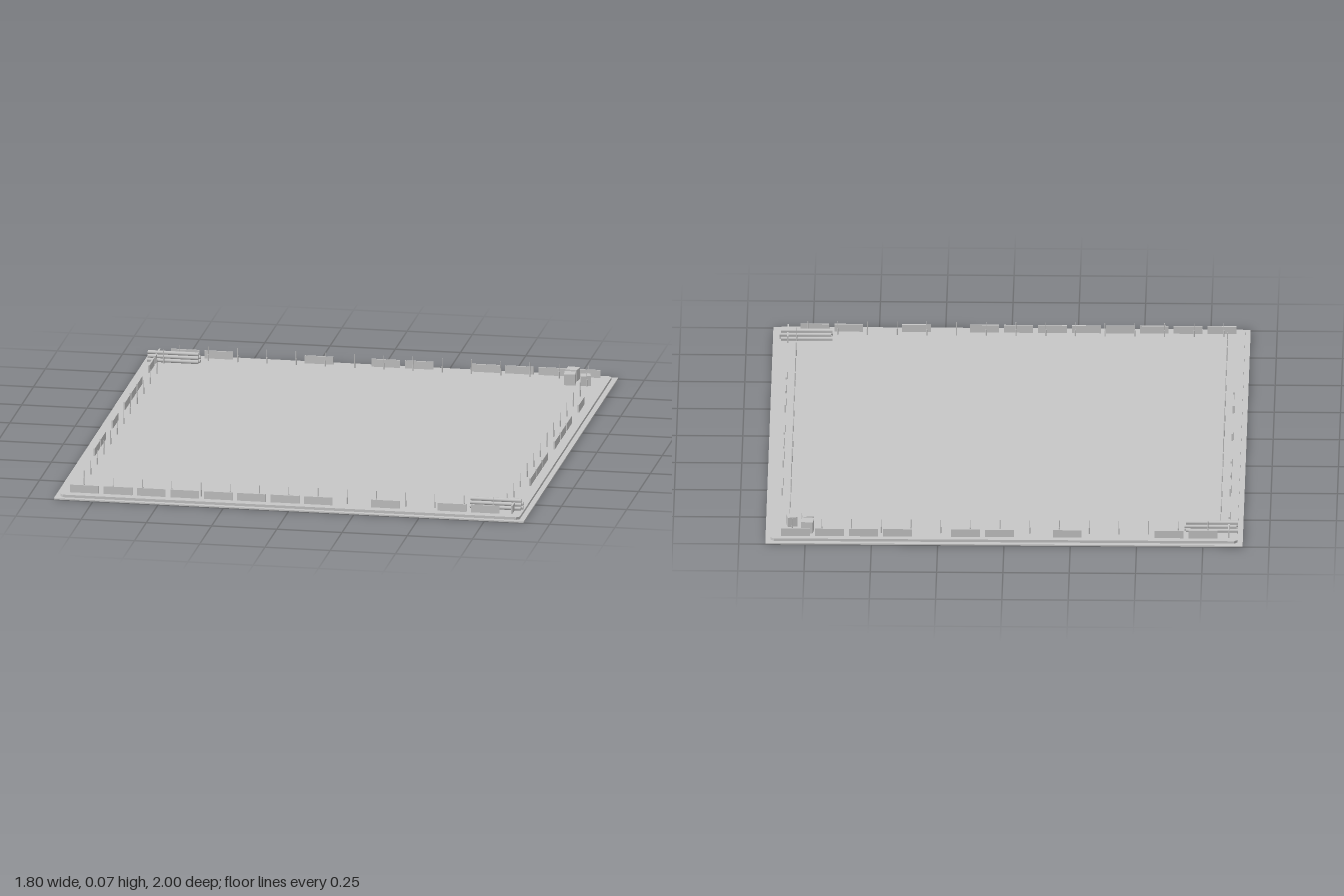
import * as THREE from 'three';

const grey = new THREE.MeshStandardMaterial({ color: 0xc6c6c6 });
grey.name = 'plain grey';

const DECK = 0.015; // height of the walking surface

function add(parent, name, geometry, x, y, z, ry = 0) {
  const mesh = new THREE.Mesh(geometry, grey);
  mesh.name = name;
  mesh.position.set(x, y, z);
  mesh.rotation.y = ry;
  parent.add(mesh);
  return mesh;
}

// Slab with slightly cut corners
function deckGeometry(w, d, h, c) {
  const x = w / 2, z = d / 2;
  const s = new THREE.Shape([
    [x - c, -z], [x, -z + c], [x, z - c], [x - c, z],
    [-x + c, z], [-x, z - c], [-x, -z + c], [-x + c, -z],
  ].map(([a, b]) => new THREE.Vector2(a, b)));
  return new THREE.ExtrudeGeometry(s, { depth: h, bevelEnabled: false }).rotateX(-Math.PI / 2);
}

// Three-two-one stack of pipes lying along x
function pipeStack(name, x, z) {
  const group = new THREE.Group();
  group.name = name;
  const r = 0.0075;
  const pipe = new THREE.CylinderGeometry(r, r, 0.195, 10).rotateZ(Math.PI / 2);
  for (let row = 0; row < 3; row++) {
    for (let i = 0; i < 3 - row; i++) {
      const shift = ((row + i) % 2 ? 1 : -1) * 0.003;
      add(group, 'pipe', pipe, shift, r + row * r * 1.73, (i - (2 - row) / 2) * 2 * r);
    }
  }
  group.position.set(x, DECK, z);
  return group;
}

export function createModel() {
  const model = new THREE.Group();
  model.name = 'fencedPlot';

  // Ground plate and raised deck
  add(model, 'groundPlate', new THREE.BoxGeometry(1.8, 0.005, 2), 0, 0.0025, 0);
  add(model, 'deck', deckGeometry(1.76, 1.96, DECK - 0.005, 0.012), 0, 0.005, 0);

  // Barrier panels: rows with some slots left open
  const pitch = 0.128, panelH = 0.03;
  const panel = new THREE.BoxGeometry(0.109, panelH, 0.006);
  const rows = [
    { name: 'backPanel', along: 'x', at: -0.952, start: -0.75, slots: [0, 1, 4, 6, 7, 9, 10, 11, 12] },
    { name: 'frontPanel', along: 'x', at: 0.94, start: -0.793, slots: [0, 1, 2, 3, 4, 5, 6, 7, 9, 11, 12] },
    { name: 'rightPanel', along: 'z', at: -0.847, start: -0.895, slots: [0, 1, 3, 4, 5, 7, 9, 10] },
    { name: 'leftPanel', along: 'z', at: 0.843, start: -0.526, slots: [0, 2, 3, 4, 6, 7, 8, 11] },
  ];
  for (const { name, along, at, start, slots } of rows) {
    for (const k of slots) {
      const p = start + k * pitch;
      if (along === 'x') add(model, name, panel, p, DECK + panelH / 2, at);
      else add(model, name, panel, at, DECK + panelH / 2, p, Math.PI / 2);
    }
  }

  // Thin stakes just inside the panels
  const foot = new THREE.CylinderGeometry(0.003, 0.003, 0.025, 6);
  const rod = new THREE.CylinderGeometry(0.0015, 0.0015, 0.055, 6);
  const stake = (x, z) => {
    const g = new THREE.Group();
    g.name = 'stake';
    add(g, 'stakeFoot', foot, 0, 0.0125, 0);
    add(g, 'stakeRod', rod, 0, 0.0275, 0);
    g.position.set(x, DECK, z);
    model.add(g);
  };
  for (let i = 0; i < 15; i++) {
    const x = -0.8 + i * 0.112;
    stake(x, 0.91);
    stake(-x, -0.92);
  }
  for (let i = 0; i < 13; i++) {
    const z = -0.83 + i * 0.14;
    stake(0.81, z);
    stake(-0.815, -z);
  }

  // Pipe stacks in opposite corners
  model.add(pipeStack('backPipes', -0.78, -0.882));
  model.add(pipeStack('frontPipes', 0.775, 0.87));

  // Loose crates
  for (const [x, z, size, turn] of [
    [0.742, -0.908, 0.045, -0.12],
    [0.742, -0.852, 0.043, 0.1],
    [0.802, -0.852, 0.038, 0.2],
  ]) add(model, 'crate', new THREE.BoxGeometry(size, size, size), x, DECK + size / 2, z, turn);

  return model;
}
